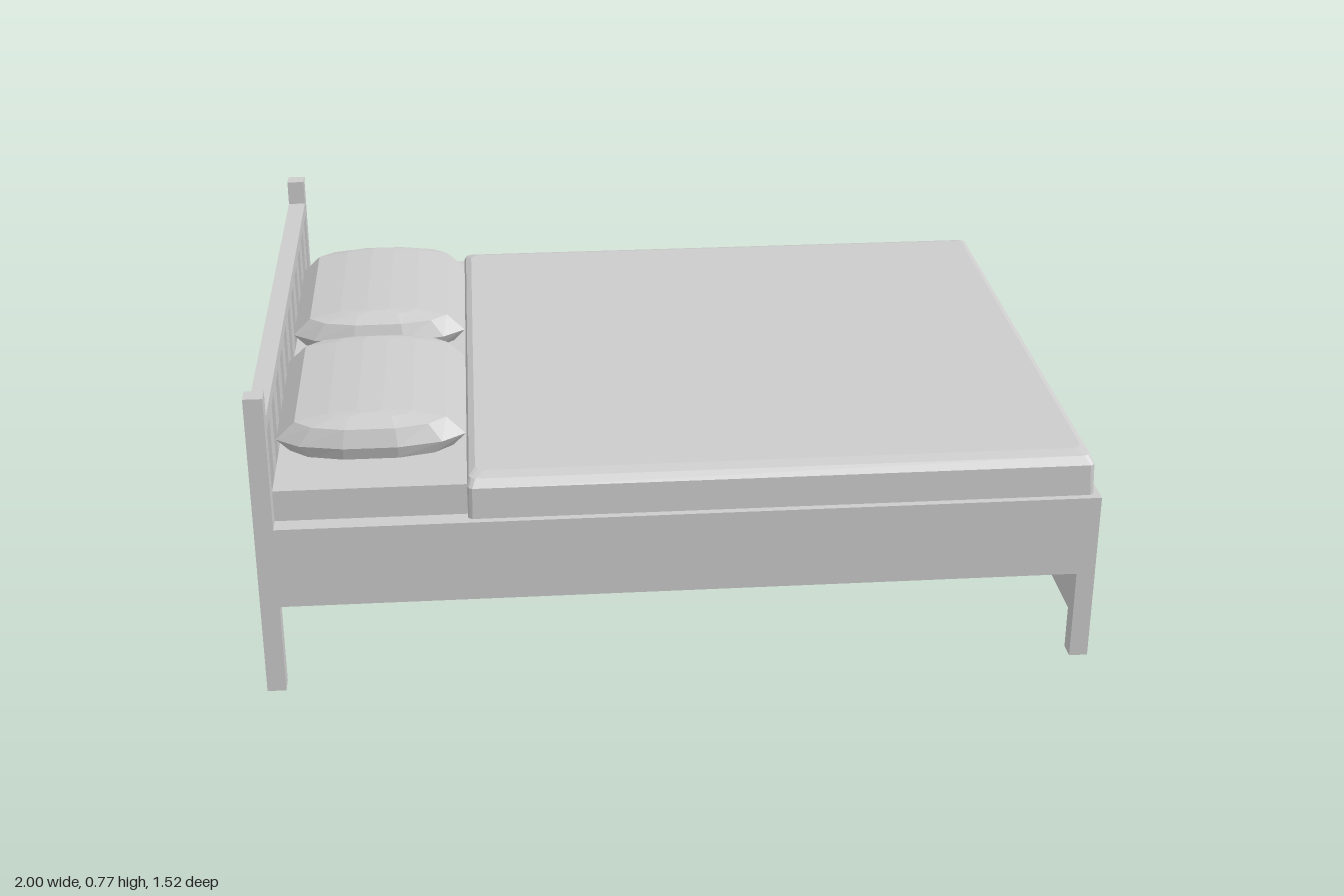
import * as THREE from 'three';

const material = new THREE.MeshStandardMaterial({ color: 0xcccccc, flatShading: true });

// Box given by its limits on each axis
function box(name, [x0, x1], [y0, y1], [z0, z1]) {
  const mesh = new THREE.Mesh(new THREE.BoxGeometry(x1 - x0, y1 - y0, z1 - z0), material);
  mesh.name = name;
  mesh.position.set((x0 + x1) / 2, (y0 + y1) / 2, (z0 + z1) / 2);
  return mesh;
}

// Twelve-sided ring: a rectangle with rounded corners, counter-clockwise from above
function ring({ y, x0, x1, hz, cutX, cutZ }) {
  const stepX = cutX * 0.35;
  const stepZ = cutZ * 0.35;
  return [
    [x1, hz - cutZ], [x1, -hz + cutZ], [x1 - stepX, -hz + stepZ],
    [x1 - cutX, -hz], [x0 + cutX, -hz], [x0 + stepX, -hz + stepZ],
    [x0, -hz + cutZ], [x0, hz - cutZ], [x0 + stepX, hz - stepZ],
    [x0 + cutX, hz], [x1 - cutX, hz], [x1 - stepX, hz - stepZ],
  ].map(([x, z]) => [x, y, z]);
}

// Closed skin over a stack of rings, bottom to top
function loft(name, sections) {
  const rings = sections.map(ring);
  const positions = [];
  const tri = (a, b, c) => positions.push(...a, ...b, ...c);
  const middle = (s) => [(s.x0 + s.x1) / 2, s.y, 0];
  const last = sections.length - 1;
  const bottom = middle(sections[0]);
  const top = middle(sections[last]);
  const sides = rings[0].length;
  for (let i = 0; i < sides; i++) {
    const j = (i + 1) % sides;
    for (let k = 0; k < last; k++) {
      tri(rings[k][i], rings[k][j], rings[k + 1][j]);
      tri(rings[k][i], rings[k + 1][j], rings[k + 1][i]);
    }
    tri(bottom, rings[0][j], rings[0][i]);
    tri(top, rings[last][i], rings[last][j]);
  }
  const geometry = new THREE.BufferGeometry();
  geometry.setAttribute('position', new THREE.Float32BufferAttribute(positions, 3));
  geometry.computeVertexNormals();
  const mesh = new THREE.Mesh(geometry, material);
  mesh.name = name;
  return mesh;
}

function createHeadboard() {
  const group = new THREE.Group();
  group.name = 'headboard';
  const x = [-1, -0.955];
  for (const s of [-1, 1]) {
    group.add(box('headPost', x, [0, 0.77], s > 0 ? [0.715, 0.76] : [-0.76, -0.715]));
  }
  group.add(box('headPanel', x, [0.23, 0.435], [-0.715, 0.715]));
  group.add(box('headRail', x, [0.67, 0.705], [-0.715, 0.715]));
  // Ten upright slats, as wide as the gaps between them
  for (let i = 0; i < 10; i++) {
    const z = (i - 4.5) * 0.136;
    group.add(box('headSlat', x, [0.435, 0.67], [z - 0.034, z + 0.034]));
  }
  return group;
}

function createFrame() {
  const group = new THREE.Group();
  group.name = 'frame';
  for (const s of [-1, 1]) {
    const z = s > 0 ? [0.715, 0.76] : [-0.76, -0.715];
    group.add(box('footLeg', [0.955, 1], [0, 0.435], z));
    group.add(box('sideRail', [-0.955, 0.955], [0.23, 0.435], z));
  }
  group.add(box('footPanel', [0.955, 1], [0.11, 0.435], [-0.715, 0.715]));
  // Broad boards across the underside
  for (const x of [-0.575, -0.018, 0.545]) {
    group.add(box('underSlat', [x - 0.135, x + 0.135], [0.23, 0.275], [-0.715, 0.715]));
  }
  return group;
}

// Puffed pillow: steep rounded sides and a gently crowned top
function createPillow(z) {
  const section = (y, hx, hz, cutX, cutZ) => ({ y, x0: -hx, x1: hx, hz, cutX, cutZ });
  const pillow = loft('pillow', [
    section(0.513, 0.11, 0.24, 0.06, 0.05),
    section(0.53, 0.195, 0.285, 0.13, 0.06),
    section(0.562, 0.225, 0.295, 0.16, 0.065),
    section(0.605, 0.18, 0.28, 0.12, 0.055),
    section(0.62, 0.1, 0.245, 0.05, 0.03),
    section(0.626, 0.03, 0.23, 0.015, 0.02),
  ]);
  pillow.position.set(-0.73, 0, z);
  return pillow;
}

export function createModel() {
  const model = new THREE.Group();
  model.name = 'bed';
  model.add(createHeadboard(), createFrame());
  model.add(box('mattress', [-0.955, 0.955], [0.275, 0.513], [-0.715, 0.715]));

  // Blanket with softened upper edges
  const layer = (y, x0, x1, hz, cut) => ({ y, x0, x1, hz, cutX: cut, cutZ: cut });
  model.add(loft('blanket', [
    layer(0.43, -0.505, 0.986, 0.743, 0.01),
    layer(0.512, -0.505, 0.984, 0.739, 0.012),
    layer(0.53, -0.5, 0.975, 0.722, 0.015),
    layer(0.538, -0.485, 0.96, 0.695, 0.02),
  ]));

  model.add(createPillow(-0.32), createPillow(0.312));
  return model;
}
